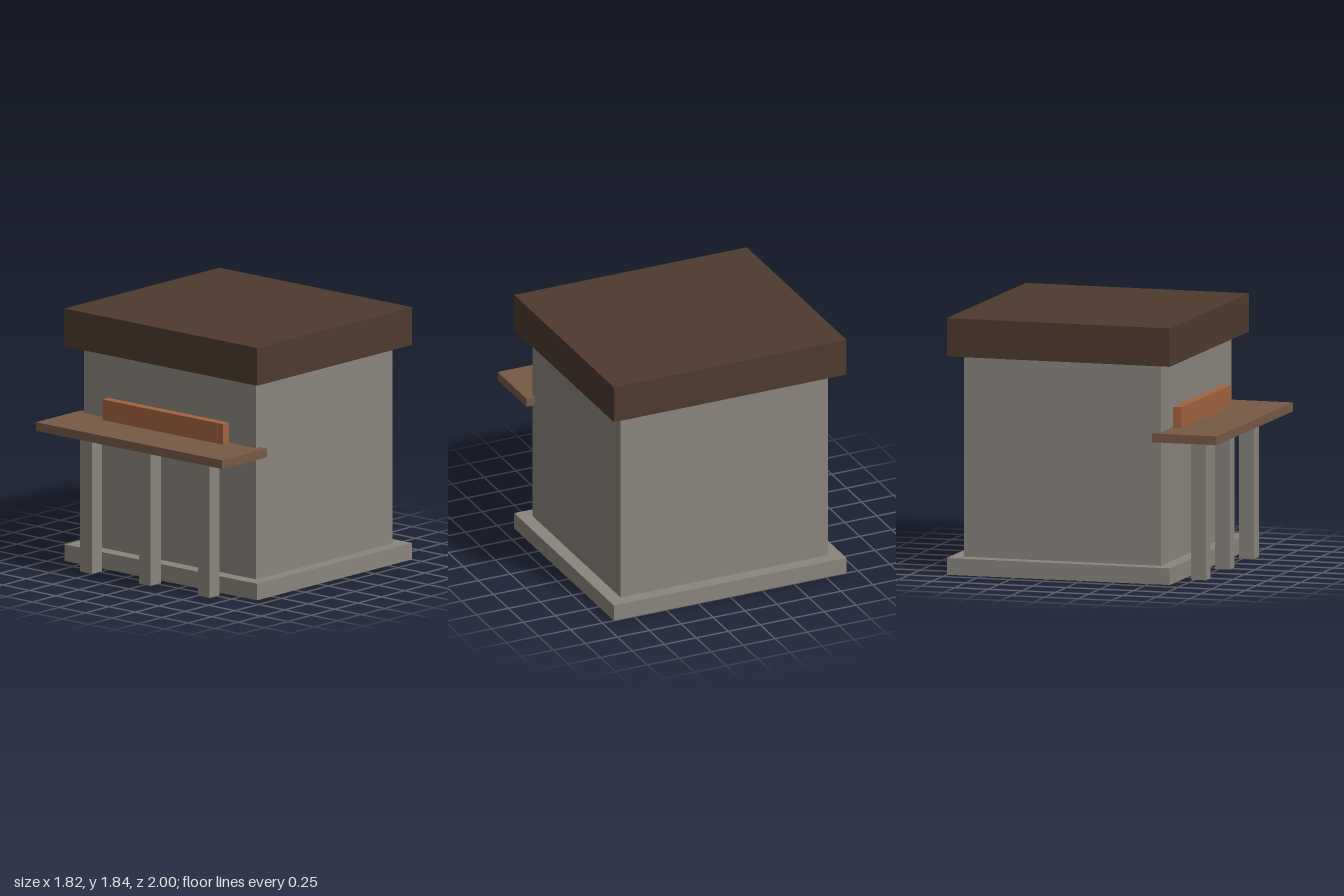
import * as THREE from 'three';

const paint = (name, color) => {
  const m = new THREE.MeshStandardMaterial({ color });
  m.name = name;
  return m;
};

export function createModel() {
  const stone = paint('grey stone', 0x8a857d);
  const darkWood = paint('dark wood', 0x4e3a2d);
  const wood = paint('brown wood', 0x765945);
  const clay = paint('orange clay', 0xa26340);

  const model = new THREE.Group();
  model.name = 'kiosk';

  // Box given by its lower and upper limits on each axis
  const box = (name, material, [x0, x1], [y0, y1], [z0, z1]) => {
    const mesh = new THREE.Mesh(new THREE.BoxGeometry(x1 - x0, y1 - y0, z1 - z0), material);
    mesh.position.set((x0 + x1) / 2, (y0 + y1) / 2, (z0 + z1) / 2);
    mesh.name = name;
    model.add(mesh);
  };

  // Building
  box('plinth', stone, [-0.91, 0.91], [0, 0.12], [-1, 0.66]);
  box('walls', stone, [-0.812, 0.812], [0.12, 1.562], [-0.902, 0.562]);
  box('roof', darkWood, [-0.91, 0.91], [1.562, 1.837], [-1, 0.66]);

  // Counter, its raised bar and three posts
  box('counter', wood, [-0.88, 0.88], [1.012, 1.075], [0.518, 1]);
  box('counterBar', clay, [-0.568, 0.568], [1.075, 1.225], [0.574, 0.638]);
  for (const x of [-0.555, 0, 0.555]) {
    box('counterPost', stone, [x - 0.055, x + 0.055], [0, 1.012], [0.721, 0.831]);
  }

  return model;
}
